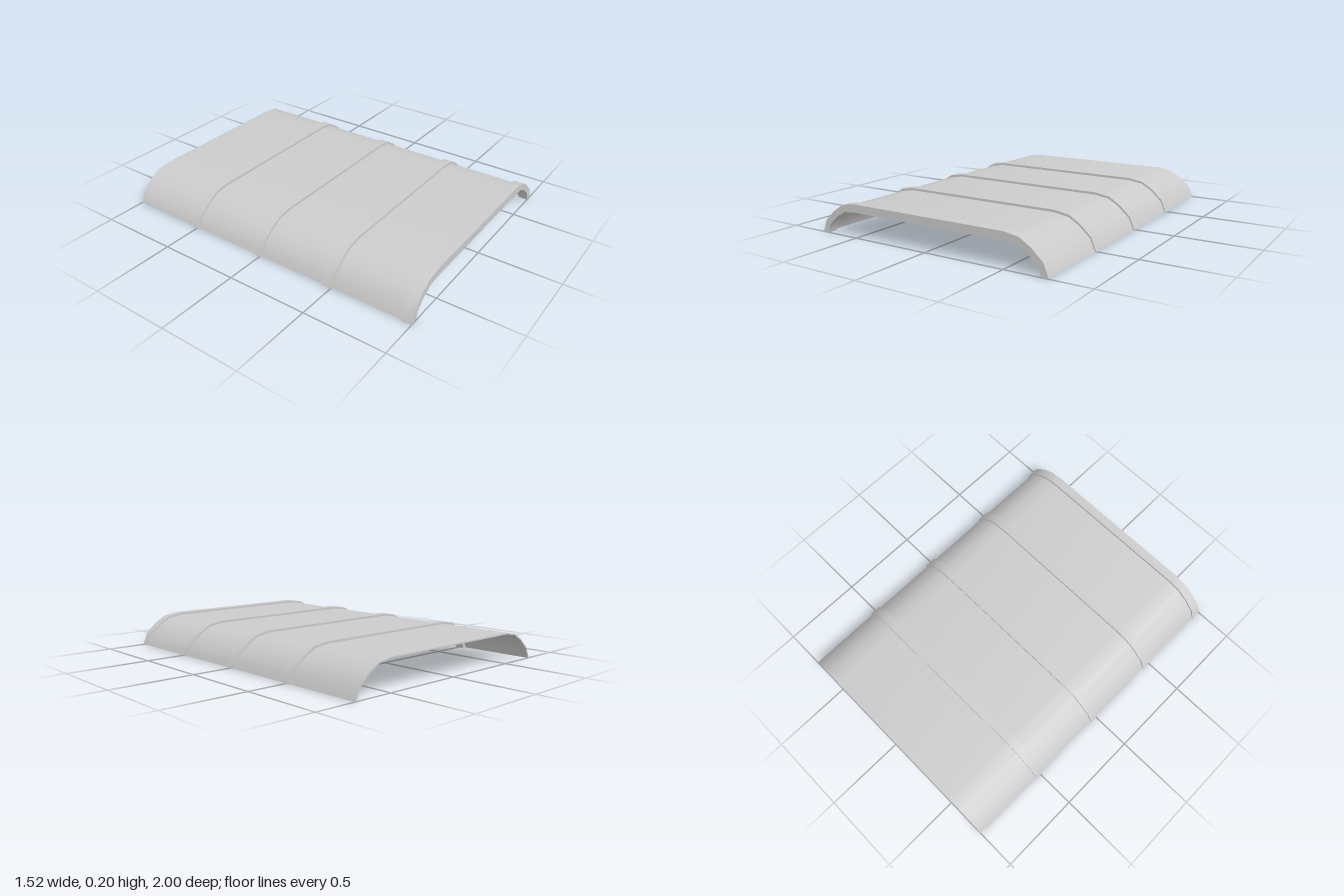
import * as THREE from 'three';
import { toCreasedNormals } from 'three/addons/utils/BufferGeometryUtils.js';

const material = new THREE.MeshStandardMaterial({ color: 0xcccccc, side: THREE.DoubleSide });

// Half profiles (+x side), from the foot up to the flat top
const ribOuter = [[0.761, 0], [0.73, 0.076], [0.661, 0.139], [0.592, 0.181], [0.5, 0.196]];
const ribInner = [[0.717, 0], [0.702, 0.05], [0.643, 0.105], [0.577, 0.141], [0.5, 0.148]];
const sheetOuter = [[0.752, 0], [0.722, 0.069], [0.655, 0.129], [0.588, 0.168], [0.5, 0.182]];
const sheetInner = [[0.743, 0], [0.714, 0.064], [0.65, 0.122], [0.585, 0.16], [0.5, 0.174]];

// Mirror a half profile into a full arch running from +x to -x
const arch = (half) => [...half, ...half.map(([x, y]) => [-x, y]).reverse()];

// Closed arch band extruded along z, smooth around the curve and sharp at the rims
function archBand(name, outer, inner, z0, z1) {
  const points = [...arch(outer), ...arch(inner).reverse()];
  const shape = new THREE.Shape(points.map(([x, y]) => new THREE.Vector2(x, y)));
  const geometry = new THREE.ExtrudeGeometry(shape, { depth: z1 - z0, bevelEnabled: false });
  const mesh = new THREE.Mesh(toCreasedNormals(geometry, 0.6), material);
  mesh.name = name;
  mesh.position.z = z0;
  return mesh;
}

export function createModel() {
  const group = new THREE.Group();
  group.name = 'archedCover';

  // Thin curved sheet over the full length
  group.add(archBand('coverSheet', sheetOuter, sheetInner, -1, 0.999));

  // Four evenly spaced ribs, the first flush with the front edge
  for (let i = 0; i < 4; i++) {
    const front = 1 - i * 0.493;
    group.add(archBand(`rib${i + 1}`, ribOuter, ribInner, front - 0.058, front));
  }
  return group;
}
